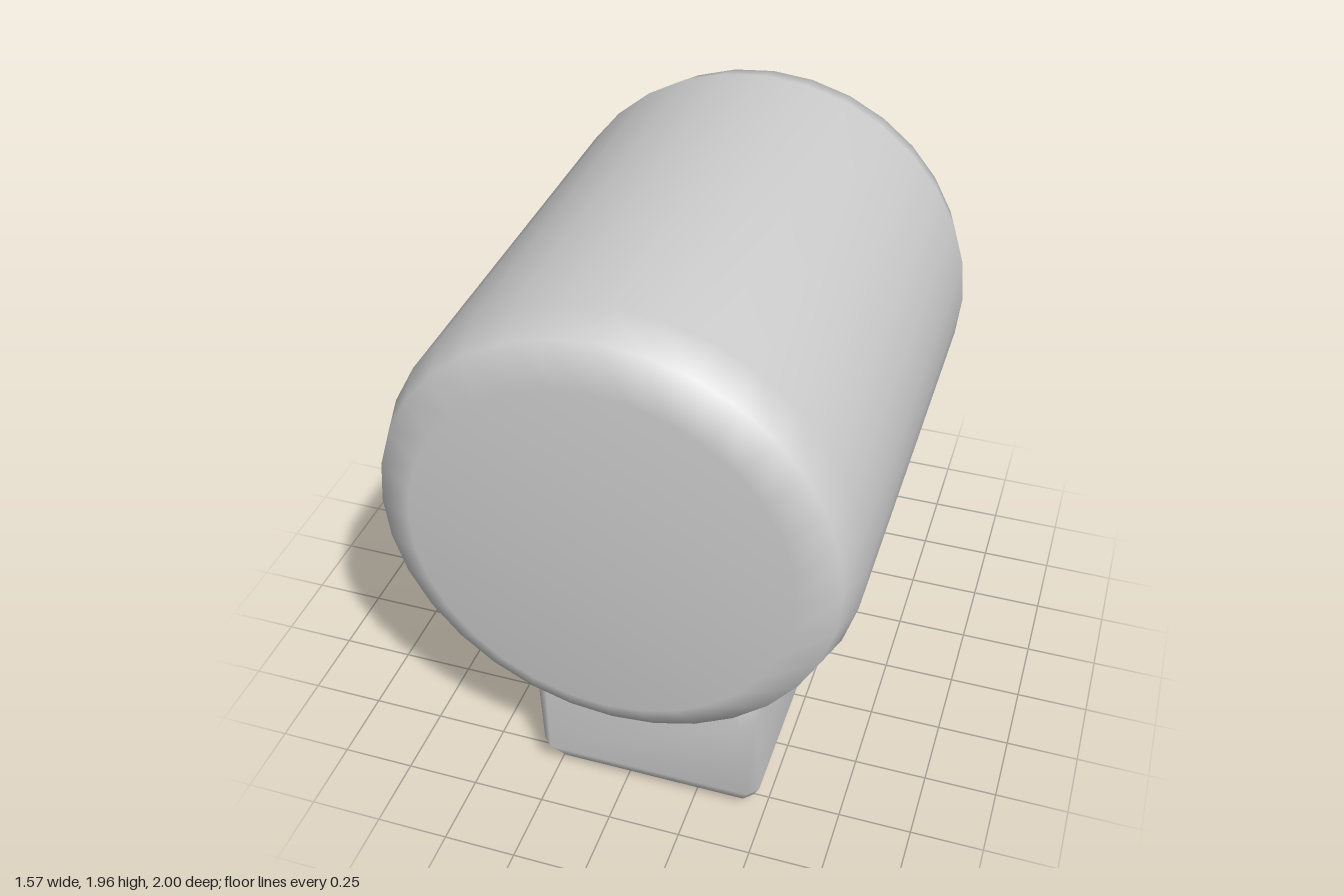
import * as THREE from 'three';

const AXIS_Y = 1.175;

// Closed loft through octagonal cross-sections: [y, x0, x1, z0, z1, corner cut]
function loft(rings) {
  const pos = [], index = [], n = 8;
  for (const [y, x0, x1, z0, z1, c] of rings) {
    const loop = [
      [x0 + c, z1], [x1 - c, z1], [x1, z1 - c], [x1, z0 + c],
      [x1 - c, z0], [x0 + c, z0], [x0, z0 + c], [x0, z1 - c],
    ];
    for (const [x, z] of loop) pos.push(x, y, z);
  }
  for (let r = 0; r < rings.length - 1; r++) {
    for (let i = 0; i < n; i++) {
      const a = r * n + i, b = r * n + (i + 1) % n;
      index.push(a, b, b + n, a, b + n, a + n);
    }
  }
  const top = (rings.length - 1) * n;
  for (let i = 1; i < n - 1; i++) {
    index.push(0, i + 1, i);
    index.push(top, top + i, top + i + 1);
  }
  const g = new THREE.BufferGeometry();
  g.setAttribute('position', new THREE.Float32BufferAttribute(pos, 3));
  g.setIndex(index);
  g.computeVertexNormals();
  return g;
}

export function createModel() {
  const group = new THREE.Group();
  const grey = new THREE.MeshStandardMaterial({ color: 0xcccccc });
  grey.name = 'plain grey';

  const add = (name, geometry) => {
    const mesh = new THREE.Mesh(geometry, grey);
    mesh.name = name;
    group.add(mesh);
  };

  // Barrel with rounded rims, lying along z
  const profile = [
    [0, -0.95], [0.66, -0.95], [0.745, -0.91], [0.785, -0.78],
    [0.785, 0.14], [0.785, 0.8], [0.745, 0.93], [0.62, 1], [0, 1],
  ].map(([r, z]) => new THREE.Vector2(r, z));
  const barrel = new THREE.LatheGeometry(profile, 32);
  barrel.rotateX(Math.PI / 2).translate(0, AXIS_Y, 0);
  // Underside rises slightly towards the foot
  const p = barrel.attributes.position;
  for (let i = 0; i < p.count; i++) {
    if (p.getZ(i) > 0) p.setY(i, Math.max(p.getY(i), 0.415));
  }
  add('barrel', barrel);

  // Flat faceted disc on the back
  const disc = new THREE.CylinderGeometry(0.665, 0.665, 0.06, 32).toNonIndexed();
  disc.rotateX(Math.PI / 2).translate(0, AXIS_Y, -0.97);
  disc.computeVertexNormals();
  add('backDisc', disc);

  // Single off-centre foot, bevelled at the bottom and sunk into the barrel
  add('foot', loft([
    [0, -0.18, 0.38, 0.25, 0.75, 0.02],
    [0.045, -0.255, 0.455, 0.17, 0.82, 0.03],
    [0.13, -0.295, 0.485, 0.125, 0.87, 0.035],
    [0.42, -0.317, 0.46, 0.14, 0.86, 0.05],
    [0.64, -0.33, 0.44, 0.15, 0.85, 0.05],
  ]));

  return group;
}
